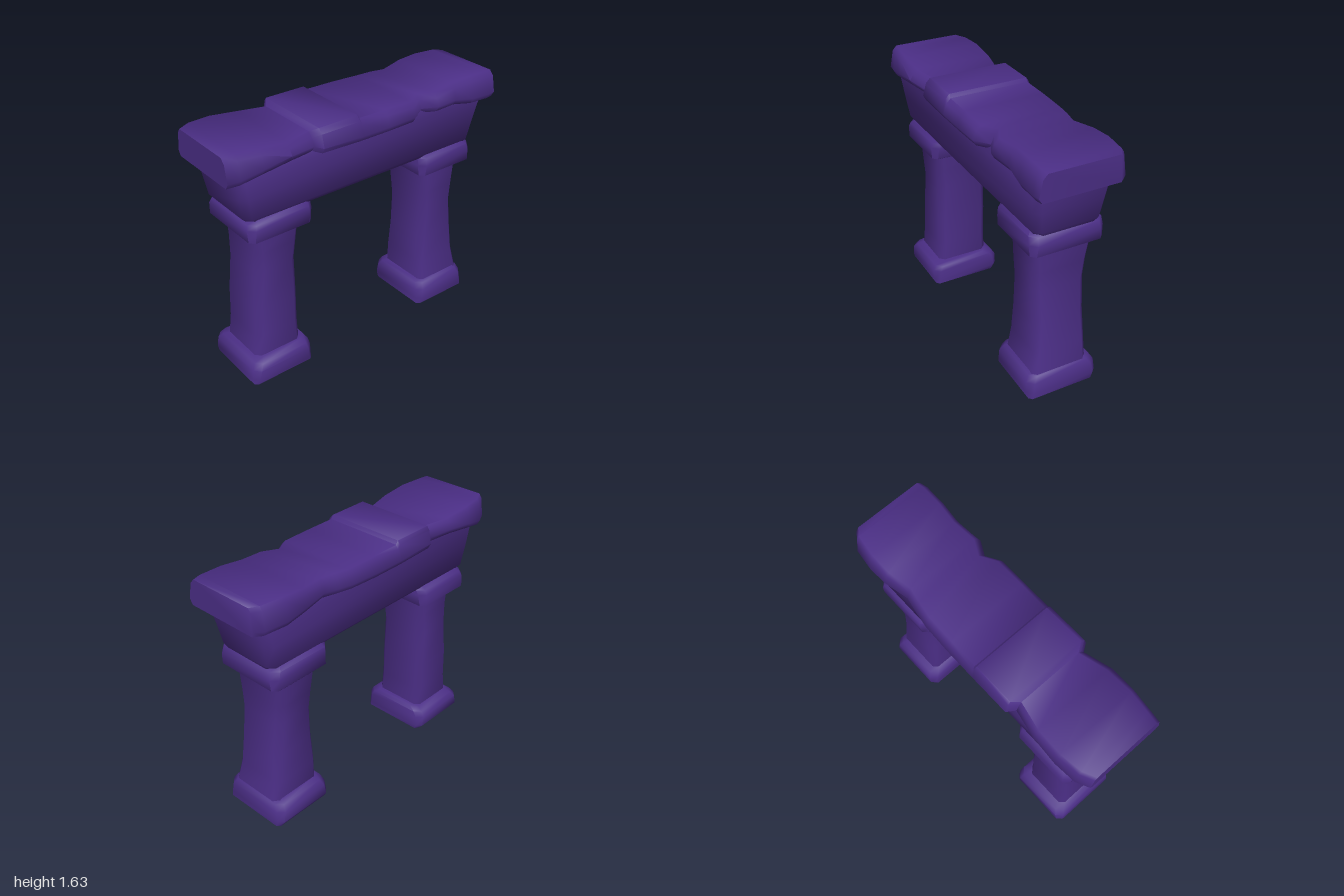
import * as THREE from 'three';
import { toCreasedNormals } from 'three/addons/utils/BufferGeometryUtils.js';

const stone = new THREE.MeshStandardMaterial({ color: 0x4b2e86 });
stone.name = 'purple stone';

// Closed solid through rings of points; rings turn counter-clockwise about the direction of travel.
function loft(name, rings) {
  const n = rings[0].length, last = (rings.length - 1) * n, index = [];
  for (let i = 0; i < last; i += n) {
    for (let j = 0; j < n; j++) {
      const k = (j + 1) % n;
      index.push(i + j, i + k, i + n + k, i + j, i + n + k, i + n + j);
    }
  }
  for (let j = 1; j < n - 1; j++) index.push(0, j + 1, j, last, last + j, last + j + 1);
  const geometry = new THREE.BufferGeometry();
  geometry.setAttribute('position', new THREE.Float32BufferAttribute(rings.flat(2), 3));
  geometry.setIndex(index);
  const mesh = new THREE.Mesh(toCreasedNormals(geometry, 1.05), stone);
  mesh.name = name;
  return mesh;
}

// Level rectangle with cut corners: y, x range, z range, corner size.
function block([y, x0, x1, z0, z1, c]) {
  return [
    [x1 - c, y, z0], [x0 + c, y, z0], [x0, y, z0 + c], [x0, y, z1 - c],
    [x0 + c, y, z1], [x1 - c, y, z1], [x1, y, z1 - c], [x1, y, z0 + c],
  ];
}

const stack = (name, rows) => loft(name, rows.map(block));

function pillar(name, parts) {
  const group = new THREE.Group();
  group.name = name;
  for (const [part, rows] of Object.entries(parts)) group.add(stack(part, rows));
  return group;
}

export function createModel() {
  const model = new THREE.Group();
  model.name = 'stoneArch';

  model.add(pillar('frontPillar', {
    base: [
      [0, -0.22, 0.235, 0.45, 0.89, 0.02], [0.03, -0.25, 0.24, 0.45, 0.89, 0.03],
      [0.10, -0.25, 0.245, 0.45, 0.885, 0.04], [0.135, -0.225, 0.225, 0.455, 0.86, 0.04],
      [0.16, -0.18, 0.19, 0.47, 0.83, 0.04],
    ],
    shaft: [
      [0.12, -0.18, 0.18, 0.50, 0.835, 0.03], [0.30, -0.185, 0.175, 0.50, 0.815, 0.04],
      [0.50, -0.185, 0.17, 0.50, 0.805, 0.035], [0.75, -0.185, 0.165, 0.495, 0.785, 0.045],
      [0.90, -0.18, 0.175, 0.485, 0.785, 0.04], [1.05, -0.18, 0.18, 0.475, 0.79, 0.03],
    ],
    capital: [
      [1.0, -0.185, 0.18, 0.47, 0.80, 0.03], [1.03, -0.25, 0.235, 0.42, 0.855, 0.03],
      [1.11, -0.25, 0.24, 0.41, 0.86, 0.04], [1.14, -0.235, 0.23, 0.41, 0.85, 0.04],
      [1.17, -0.20, 0.20, 0.42, 0.81, 0.04],
    ],
  }));

  model.add(pillar('backPillar', {
    base: [
      [0, -0.22, 0.235, -0.89, -0.465, 0.02], [0.04, -0.245, 0.24, -0.89, -0.465, 0.03],
      [0.11, -0.24, 0.24, -0.885, -0.465, 0.04], [0.15, -0.215, 0.215, -0.87, -0.48, 0.04],
      [0.17, -0.18, 0.19, -0.85, -0.50, 0.04],
    ],
    shaft: [
      [0.12, -0.18, 0.205, -0.87, -0.505, 0.03], [0.30, -0.18, 0.175, -0.84, -0.51, 0.03],
      [0.50, -0.175, 0.17, -0.825, -0.515, 0.04], [0.72, -0.18, 0.17, -0.80, -0.525, 0.04],
      [0.85, -0.19, 0.175, -0.80, -0.52, 0.035], [1.05, -0.215, 0.18, -0.81, -0.515, 0.03],
    ],
    capital: [
      [1.0, -0.21, 0.18, -0.83, -0.50, 0.03], [1.03, -0.24, 0.235, -0.875, -0.44, 0.03],
      [1.10, -0.245, 0.24, -0.88, -0.435, 0.04], [1.15, -0.24, 0.235, -0.865, -0.435, 0.04],
      [1.18, -0.20, 0.20, -0.83, -0.45, 0.04],
    ],
  }));

  // Beam flares upwards into the top slab
  model.add(stack('beam', [
    [1.15, -0.20, 0.20, -0.86, 0.84, 0.04], [1.18, -0.225, 0.22, -0.875, 0.87, 0.04],
    [1.32, -0.238, 0.238, -0.90, 0.895, 0.04], [1.46, -0.245, 0.255, -0.93, 0.92, 0.04],
    [1.54, -0.22, 0.22, -0.935, 0.925, 0.04],
  ]));

  // Worn top slab: z, left edge, right edge, top, bottom
  const slabRows = [
    [-1, -0.25, 0.28, 1.625, 1.455], [-0.95, -0.285, 0.29, 1.63, 1.455],
    [-0.8, -0.305, 0.288, 1.63, 1.46], [-0.66, -0.303, 0.275, 1.62, 1.485],
    [-0.5, -0.27, 0.292, 1.605, 1.49], [-0.4, -0.29, 0.24, 1.605, 1.485],
    [-0.3, -0.305, 0.302, 1.6, 1.48], [-0.1, -0.31, 0.302, 1.605, 1.475],
    [0.095, -0.31, 0.302, 1.607, 1.475], [0.11, -0.31, 0.302, 1.63, 1.475],
    [0.385, -0.31, 0.305, 1.63, 1.485], [0.42, -0.26, 0.255, 1.602, 1.49],
    [0.6, -0.30, 0.30, 1.607, 1.505], [0.78, -0.308, 0.302, 1.625, 1.485],
    [0.92, -0.29, 0.285, 1.63, 1.455], [1, -0.25, 0.275, 1.63, 1.455],
  ];
  model.add(loft('topSlab', slabRows.map(([z, l, r, t, b]) => [
    [l + 0.02, b, z], [r - 0.02, b, z], [r, b + 0.035, z], [r - 0.022, t - 0.03, z],
    [r - 0.05, t, z], [l + 0.035, t, z], [l + 0.018, t - 0.025, z], [l, b + 0.035, z],
  ])));

  return model;
}
